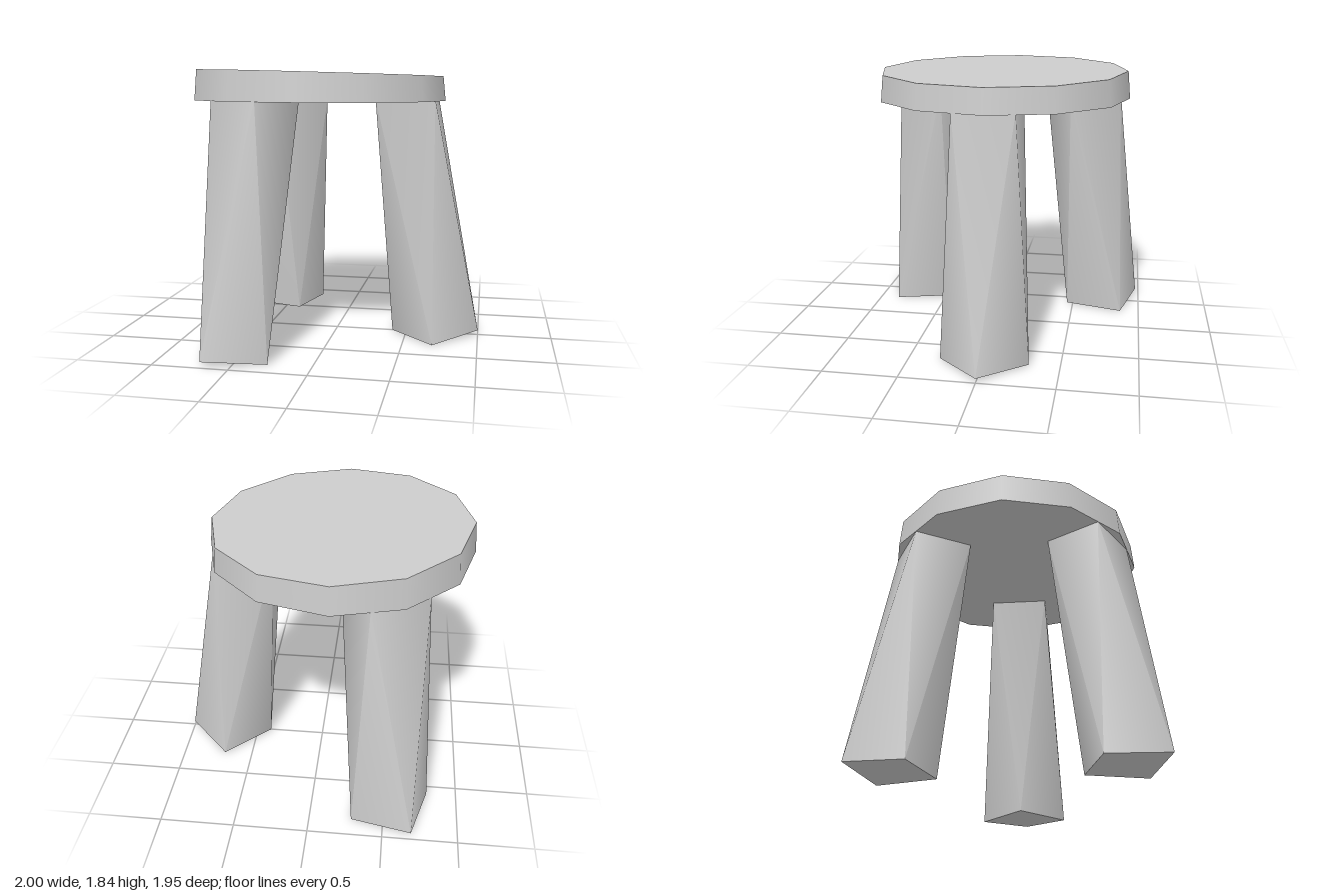
import * as THREE from 'three';
import { toCreasedNormals } from 'three/addons/utils/BufferGeometryUtils.js';

const SEAT_X = -0.127;
const LEG_TOP = 1.64;

// Round twelve-sided seat with a slightly sloping top
function seatGeometry() {
  const geo = new THREE.CylinderGeometry(0.856, 0.873, 0.18, 12);
  const pos = geo.attributes.position;
  for (let i = 0; i < pos.count; i++) {
    const x = pos.getX(i);
    pos.setY(i, pos.getY(i) > 0 ? 1.816 - 0.028 * x : 1.63 - 0.004 * x);
  }
  return geo;
}

// Square leg twisted by 45 degrees from foot to top, relative to the seat's axis
function legGeometry() {
  const foot = [[1.127, 0.03, 0], [0.827, 0, 0.295], [0.527, 0, 0], [0.827, 0, -0.295]];
  const top = [[0.817, LEG_TOP, 0.2], [0.422, LEG_TOP, 0.2], [0.422, LEG_TOP, -0.2], [0.817, LEG_TOP, -0.2]];
  const index = [0, 1, 3, 1, 2, 3, 4, 7, 6, 4, 6, 5]; // foot and top caps
  for (let k = 0; k < 4; k++) {
    const n = (k + 1) % 4;
    index.push(k, 4 + k, n, 4 + k, 4 + n, n);
  }
  const geo = new THREE.BufferGeometry();
  geo.setAttribute('position', new THREE.Float32BufferAttribute([...foot, ...top].flat(), 3));
  geo.setIndex(index);
  return toCreasedNormals(geo, 1.0);
}

export function createModel() {
  const stool = new THREE.Group();
  stool.name = 'stool';
  const grey = new THREE.MeshStandardMaterial({ color: 0xcccccc });
  grey.name = 'light grey';

  const seat = new THREE.Mesh(seatGeometry(), grey);
  seat.name = 'seat';
  seat.position.x = SEAT_X;
  stool.add(seat);

  // Three legs spaced evenly around the seat's axis
  const geo = legGeometry();
  ['leftLeg', 'backRightLeg', 'frontRightLeg'].forEach((name, i) => {
    const leg = new THREE.Mesh(geo, grey);
    leg.name = name;
    leg.position.x = SEAT_X;
    leg.rotation.y = (i * Math.PI * 2) / 3;
    stool.add(leg);
  });
  return stool;
}
